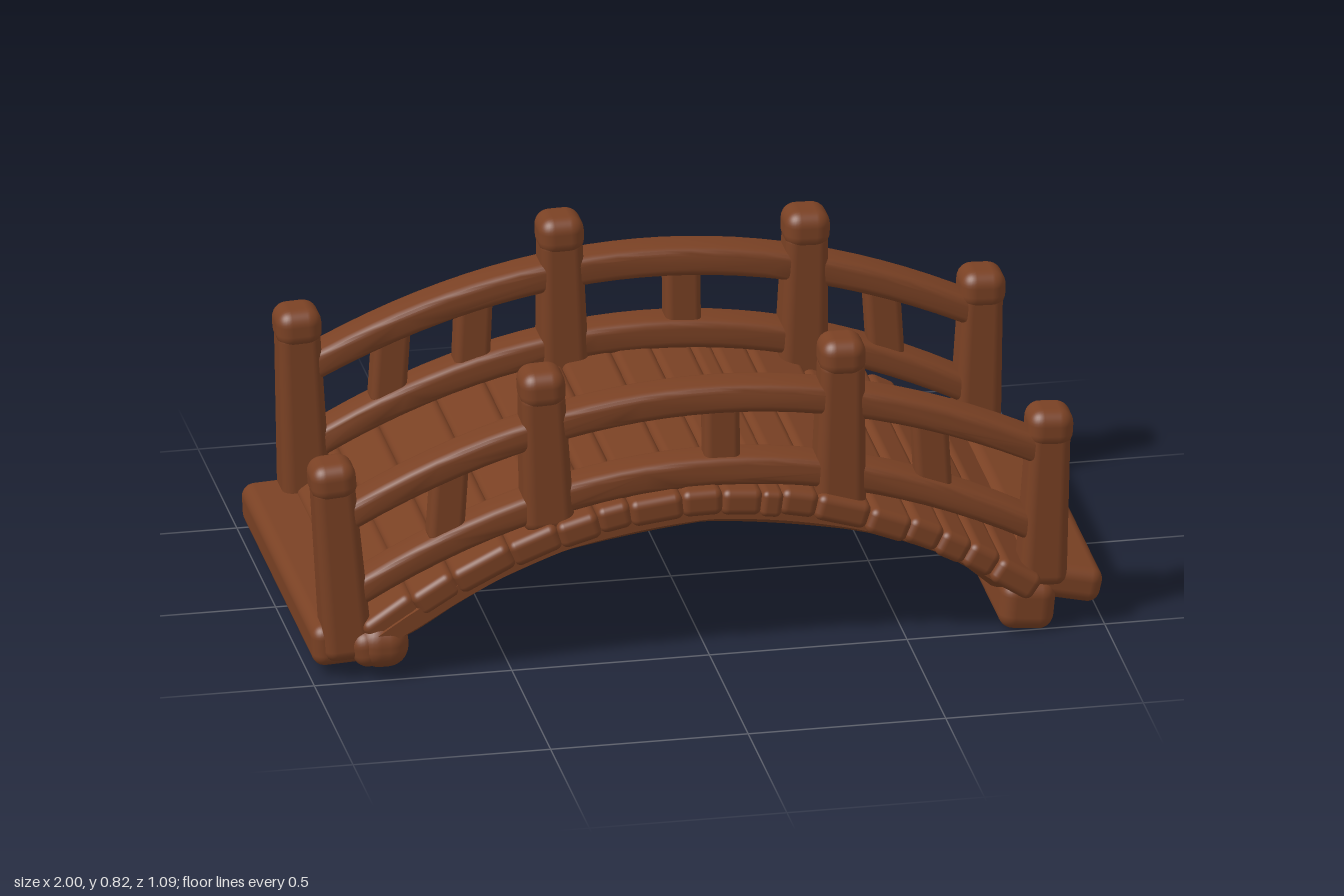
import * as THREE from 'three';
import { toCreasedNormals } from 'three/addons/utils/BufferGeometryUtils.js';
import { RoundedBoxGeometry } from 'three/addons/geometries/RoundedBoxGeometry.js';

const wood = new THREE.MeshStandardMaterial({ color: 0x7a4124 });
wood.name = 'brown wood';

// seeded jitter in the range -1..1
let seed = 7;
const jitter = () => {
  seed = (seed * 16807) % 2147483647;
  return (seed / 2147483647) * 2 - 1;
};

// heights of the arched parts at a given x
const deckTop = x => 0.45 - (x < 0 ? 0.41 : 0.44) * x * x;
const lowRail = x => 0.49 + 0.01 * x - 0.33 * x * x;
const handRail = x => 0.685 + 0.01 * x - 0.3 * x * x;

// underside of the arch along its middle, as x and y
const underside = [[-0.85, 0.035], [-0.78, 0.035], [-0.72, 0.06], [-0.64, 0.115],
  [-0.53, 0.18], [-0.36, 0.25], [-0.18, 0.275], [0, 0.3], [0.18, 0.275], [0.36, 0.25],
  [0.47, 0.225], [0.58, 0.18], [0.66, 0.13], [0.73, 0.06], [0.82, 0.03]];

function underAt(x) {
  let i = 1;
  while (i < underside.length - 1 && underside[i][0] < x) i++;
  const [x0, y0] = underside[i - 1], [x1, y1] = underside[i];
  return y0 + (y1 - y0) * (x - x0) / (x1 - x0);
}

function add(parent, name, geometry, x, y, z, rz = 0) {
  const mesh = new THREE.Mesh(geometry, wood);
  mesh.name = name;
  mesh.position.set(x, y, z);
  mesh.rotation.z = rz;
  parent.add(mesh);
  return mesh;
}

const block = (w, h, d, r = 0.4) => new RoundedBoxGeometry(w, h, d, 4, Math.min(w, h, d) * r);

// rounded block that narrows towards the top
function taperedBlock(w, h, d, topScale) {
  const geometry = block(w, h, d, 0.25);
  const p = geometry.attributes.position;
  for (let i = 0; i < p.count; i++) {
    const s = 1 + (topScale - 1) * (p.getY(i) / h + 0.5);
    p.setX(i, p.getX(i) * s);
    p.setZ(i, p.getZ(i) * s);
  }
  return geometry;
}

// arch body whose belly sweeps up towards both long edges
function archBody() {
  const geometry = new THREE.BoxGeometry(1.67, 1, 1.01, 56, 1, 20);
  const p = geometry.attributes.position;
  for (let i = 0; i < p.count; i++) {
    const x = p.getX(i) - 0.015;
    const top = deckTop(x) - 0.035, low = underAt(x);
    const lift = 0.65 * Math.pow(Math.abs(p.getZ(i)) / 0.505, 4);
    p.setX(i, x);
    p.setY(i, p.getY(i) > 0 ? top : low + (top - low) * lift);
  }
  return toCreasedNormals(geometry, 0.7);
}

// curved rail with rounded edges, following the height f(x)
function rail(f, x0, x1, thick) {
  const edge = offset => Array.from({ length: 29 }, (_, i) => {
    const x = x0 + (x1 - x0) * i / 28;
    return new THREE.Vector2(x, f(x) + offset);
  });
  const shape = new THREE.Shape([...edge(-thick / 2), ...edge(thick / 2).reverse()]);
  const geometry = new THREE.ExtrudeGeometry(shape, {
    depth: 0.06, bevelEnabled: true, bevelThickness: 0.02,
    bevelSize: 0.02, bevelOffset: -0.02, bevelSegments: 4,
  });
  geometry.translate(0, 0, -0.03);
  return toCreasedNormals(geometry, 0.7);
}

function buildPost(parent, x, bottom, top, width, tilt) {
  const post = new THREE.Group();
  post.name = 'post';
  const h = top - bottom - 0.05;
  add(post, 'postShaft', taperedBlock(width, h, 0.126, 0.84), 0, -0.05 - h / 2, 0);
  add(post, 'postCap', block(0.115, 0.1, 0.12, 0.38), 0, -0.05, 0);
  post.position.set(x, top, 0);
  post.rotation.z = tilt;
  parent.add(post);
}

function buildRailing(name, z, skew, posts, balusters) {
  const side = new THREE.Group();
  side.name = name;
  const x0 = posts[0][0], x1 = posts[posts.length - 1][0];
  add(side, 'handRail', rail(handRail, x0, x1, 0.077), 0, 0, 0);
  add(side, 'lowerRail', rail(lowRail, x0 + 0.02, x1, 0.077), 0, 0, 0);
  for (const post of posts) buildPost(side, ...post);
  for (const x of balusters) {
    const lo = lowRail(x), hi = handRail(x);
    add(side, 'baluster', block(0.09, hi - lo, 0.075, 0.25), x, (lo + hi) / 2, 0, 0.1 * x);
  }
  side.position.z = z;
  side.rotation.y = skew;
  return side;
}

export function createModel() {
  const bridge = new THREE.Group();
  bridge.name = 'archedFootbridge';

  add(bridge, 'archBody', archBody(), 0, 0, 0);

  // planks laid across the arch
  const edges = [-0.86, -0.74, -0.64, -0.5, -0.38, -0.28, -0.2, -0.07, 0.03, 0.13, 0.18,
    0.27, 0.4, 0.5, 0.58, 0.65, 0.72, 0.82];
  const planks = new THREE.Group();
  planks.name = 'planks';
  for (let i = 0; i < edges.length - 1; i++) {
    const x = (edges[i] + edges[i + 1]) / 2;
    const slope = Math.atan(-0.86 * x);
    const width = (edges[i + 1] - edges[i]) / Math.cos(slope) + 0.004;
    const length = 1.03 + 0.015 * jitter();
    add(planks, 'plank', block(width, 0.07, length, 0.3), x,
      deckTop(x) - 0.03 + 0.004 * jitter(), 0.005 + 0.018 * x + 0.006 * jitter(),
      slope + 0.02 * jitter());
  }
  bridge.add(planks);

  // sills and landing slabs at both ends
  add(bridge, 'rightSill', block(0.14, 0.1, 1.01, 0.4), -0.83, 0.09, 0, 0.2);
  add(bridge, 'rightLanding', block(0.18, 0.11, 0.95, 0.3), -0.905, 0.09, -0.01, 0.05);
  add(bridge, 'leftSill', block(0.14, 0.13, 1.05, 0.3), 0.805, 0.073, 0, -0.1);
  add(bridge, 'leftLanding', block(0.2, 0.09, 0.98, 0.35), 0.897, 0.122, 0.015, -0.22);

  // knobby beam ends beside the corner posts
  add(bridge, 'rightBackKnob', block(0.12, 0.12, 0.14, 0.45), -0.8, 0.13, -0.475);
  add(bridge, 'rightFrontKnob', block(0.13, 0.12, 0.13, 0.45), -0.82, 0.09, 0.45);
  add(bridge, 'leftBackKnob', block(0.13, 0.12, 0.12, 0.45), 0.83, 0.1, -0.475);

  // posts are listed as x, bottom, top, width, tilt
  bridge.add(buildRailing('frontRailing', 0.438, -0.018, [
    [-0.945, 0.05, 0.58, 0.125, 0.08],
    [-0.415, 0.36, 0.79, 0.13, 0.04],
    [0.345, 0.36, 0.82, 0.13, -0.02],
    [0.87, 0.12, 0.59, 0.12, -0.05],
  ], [-0.65, 0.04, 0.57]));
  bridge.add(buildRailing('backRailing', -0.425, 0, [
    [-0.865, 0.08, 0.63, 0.125, 0.04],
    [-0.2, 0.39, 0.825, 0.125, 0.02],
    [0.425, 0.33, 0.79, 0.125, -0.03],
    [0.87, 0.12, 0.59, 0.12, -0.04],
  ], [-0.63, -0.42, 0.11, 0.62]));

  return bridge;
}
